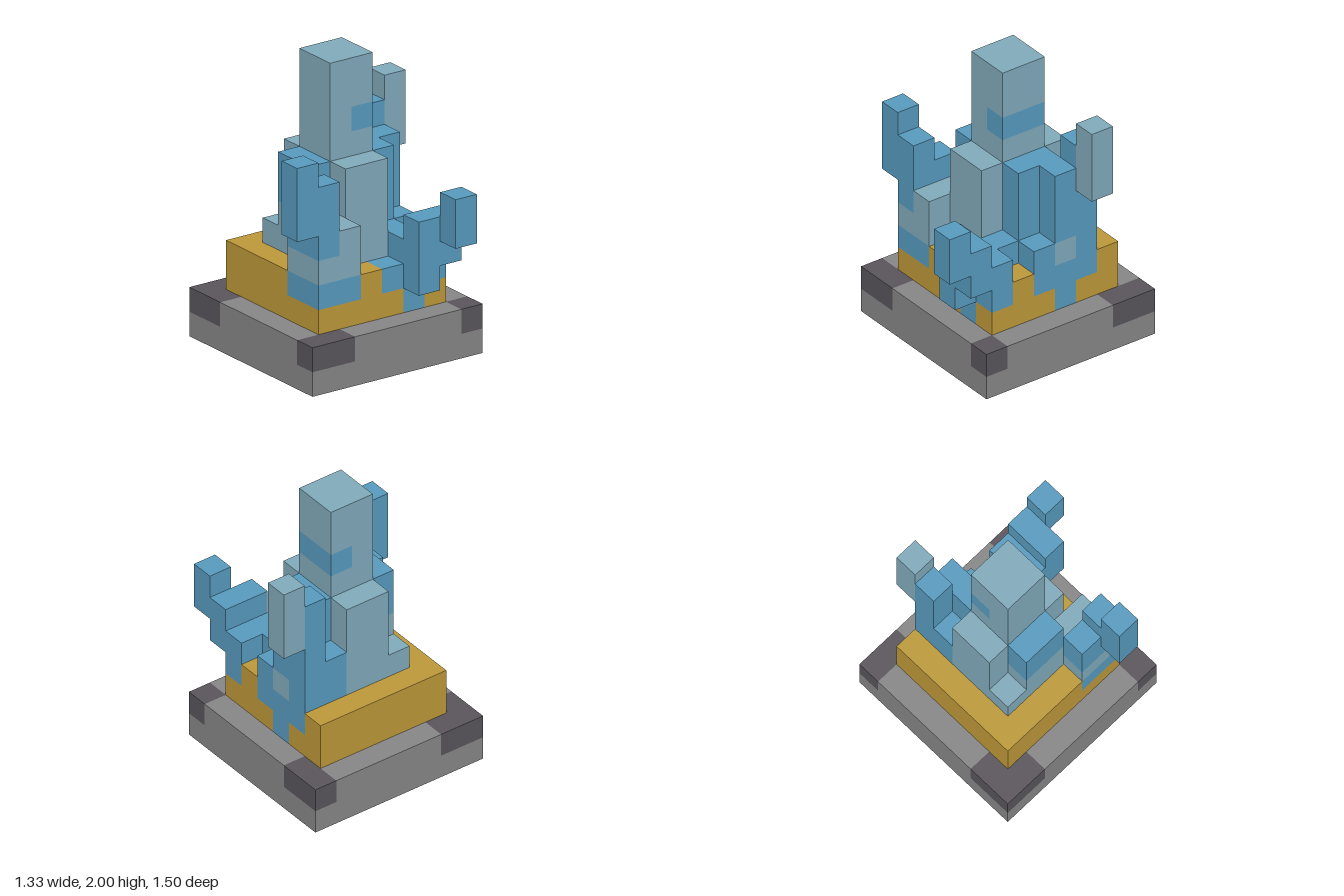
import * as THREE from 'three';
import { mergeGeometries } from 'three/addons/utils/BufferGeometryUtils.js';

const U = 1 / 6; // edge of one cube

function makeMaterial(name, color) {
  const material = new THREE.MeshStandardMaterial({ color });
  material.name = name;
  return material;
}

// the six directions of a cube, each with its square
const SIDES = [];
for (const axis of ['x', 'y', 'z']) {
  for (const sign of [1, -1]) {
    const dir = new THREE.Vector3();
    dir[axis] = sign;
    const turn = new THREE.Quaternion().setFromUnitVectors(new THREE.Vector3(0, 0, 1), dir);
    const square = new THREE.PlaneGeometry(U, U).translate(0, 0, U / 2).applyQuaternion(turn);
    SIDES.push({ dir, square });
  }
}

const key = (x, y, z) => `${x},${y},${z}`;

// grid of cubes; a later block replaces an earlier one
function makeGrid() {
  const cells = new Map();
  const block = (name, material, x, y, z, w = 1, h = 1, d = 1) => {
    for (let i = x; i < x + w; i++)
      for (let j = y; j < y + h; j++)
        for (let k = z; k < z + d; k++) cells.set(key(i, j, k), { i, j, k, name, material });
  };
  return { cells, block };
}

// one mesh for each part, made of its exposed squares
function buildMeshes(cells, group) {
  const parts = new Map();
  for (const { i, j, k, name, material } of cells.values()) {
    if (!parts.has(name)) parts.set(name, { material, squares: [] });
    for (const { dir, square } of SIDES) {
      if (cells.has(key(i + dir.x, j + dir.y, k + dir.z))) continue;
      parts.get(name).squares.push(
        square.clone().translate((i - 3.5) * U, (j + 0.5) * U, (k - 4) * U));
    }
  }
  for (const [name, { material, squares }] of parts) {
    const mesh = new THREE.Mesh(mergeGeometries(squares), material);
    mesh.name = name;
    group.add(mesh);
  }
}

export function createModel() {
  const stone = makeMaterial('stone', 0x888888);
  const darkStone = makeMaterial('darkStone', 0x5a565d);
  const ochre = makeMaterial('ochre', 0xbf9a3a);
  const blue = makeMaterial('blue', 0x589cc0);
  const paleBlue = makeMaterial('paleBlue', 0x82acbd);

  const group = new THREE.Group();
  group.name = 'blockModel';
  const { cells, block } = makeGrid();

  // stone base with dark corners and inlays underneath
  block('baseSlab', stone, 0, 0, 0, 8, 2, 8);
  for (const [x, w] of [[0, 2], [7, 1]])
    for (const [z, d] of [[0, 2], [7, 1]]) block('baseCorners', darkStone, x, 1, z, w, 1, d);
  block('undersideInlays', darkStone, 6, 0, 1);
  block('undersideInlays', darkStone, 1, 0, 1, 1, 1, 2);
  block('undersideInlays', darkStone, 1, 0, 6, 6);

  // ochre plinth with blue patches
  block('plinth', ochre, 1, 2, 1, 6, 2, 6);
  block('plinthPatches', blue, 1, 3, 6, 2);
  block('plinthPatches', blue, 1, 3, 5);
  block('plinthPatches', blue, 4, 3, 6, 3);
  block('plinthPatches', blue, 5, 2, 6);
  block('plinthPatches', blue, 6, 3, 2, 1, 1, 3);
  block('plinthPatches', blue, 6, 2, 3);

  // trunk and tower with its band
  block('trunk', paleBlue, 3, 4, 2, 2, 4, 4);
  block('tower', paleBlue, 3, 8, 3, 2, 4, 2);
  block('towerBand', blue, 4, 9, 3, 1, 1, 2);

  // right flank and raised arm
  block('rightFlankLower', paleBlue, 2, 4, 2);
  block('rightFlankLower', paleBlue, 2, 4, 3, 1, 2, 4);
  block('rightFlankUpper', blue, 2, 6, 3, 1, 2, 2);
  block('rightArmRoot', paleBlue, 1, 4, 5, 1, 1, 2);
  block('rightArm', blue, 1, 5, 5, 1, 2);
  block('rightArm', blue, 1, 5, 6, 1, 3);
  block('rightArm', blue, 0, 6, 6, 1, 3);

  // left flank and raised arm
  block('leftFlank', blue, 5, 4, 2, 1, 2);
  block('leftFlank', blue, 5, 4, 3, 1, 4, 2);
  block('leftFlank', blue, 5, 4, 5, 1, 1, 2);
  block('leftArm', blue, 6, 4, 2, 1, 5);
  block('leftArm', blue, 6, 5, 3, 1, 3);
  block('leftArm', blue, 6, 4, 4);
  block('leftArmSpot', paleBlue, 6, 4, 3);
  block('leftArmTip', paleBlue, 7, 7, 2, 1, 3);

  // small branch reaching over the front edge
  block('frontBranch', blue, 6, 4, 6);
  block('frontBranch', blue, 5, 3, 7, 1, 3);
  block('frontBranch', blue, 6, 4, 7, 1, 2);
  block('frontBranch', blue, 6, 5, 8, 1, 2);

  buildMeshes(cells, group);
  return group;
}
